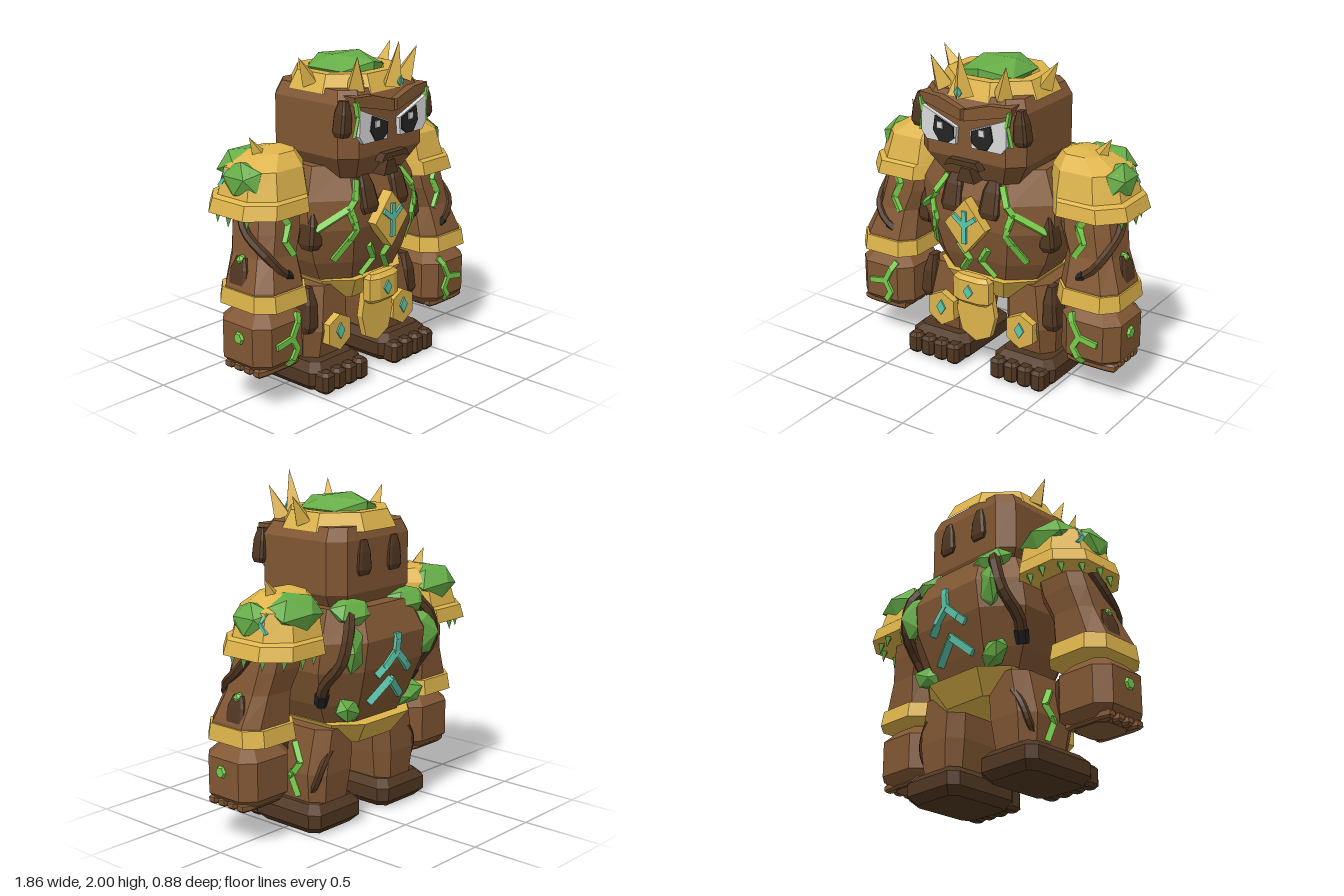
import * as THREE from 'three';

const V = (x, y, z) => new THREE.Vector3(x, y, z);
const UP = V(0, 1, 0);

export function createModel() {
  const root = new THREE.Group();
  const paint = (name, color) => {
    const m = new THREE.MeshStandardMaterial({ color });
    m.name = name;
    m.flatShading = true;
    return m;
  };
  const brown = paint('stoneBrown', 0x815733), dark = paint('darkBrown', 0x503621), gold = paint('gold', 0xdeb44b);
  const moss = paint('mossGreen', 0x66ad47), glow = paint('vineGreen', 0x76cc49), teal = paint('teal', 0x5ec9ad);
  const black = paint('black', 0x252424), white = paint('eyeWhite', 0xdadada);

  const add = (name, geo, mat) => {
    const m = new THREE.Mesh(geo, mat);
    m.name = name;
    root.add(m);
    return m;
  };
  // Stacked eight-sided sections: [y, halfX, halfZ, centreX, centreZ], k = corner cut
  const loft = (rings, k = 0.3) => {
    const pos = [], idx = [], n = rings.length;
    for (const [y, hx, hz, ox = 0, oz = 0] of rings) {
      const a = hx * (1 - k), b = hz * (1 - k);
      for (const [x, z] of [[a, hz], [hx, b], [hx, -b], [a, -hz], [-a, -hz], [-hx, -b], [-hx, b], [-a, hz]])
        pos.push(x + ox, y, z + oz);
    }
    for (let i = 0; i < n - 1; i++) for (let j = 0; j < 8; j++) {
      const a = i * 8 + j, b = i * 8 + (j + 1) % 8;
      idx.push(a, b, b + 8, a, b + 8, a + 8);
    }
    const t = (n - 1) * 8;
    for (let j = 1; j < 7; j++) idx.push(t, t + j, t + j + 1, 0, j + 1, j);
    const g = new THREE.BufferGeometry();
    g.setAttribute('position', new THREE.Float32BufferAttribute(pos, 3));
    g.setIndex(idx);
    const flat = g.toNonIndexed();
    flat.computeVertexNormals();
    return flat;
  };
  // Bevelled block centred on x, y, z
  const chunk = (name, mat, x, y, z, w, h, d, c) => add(name, loft([
    [y - h / 2, w / 2 - c, d / 2 - c, x, z], [y - h / 2 + c, w / 2, d / 2, x, z],
    [y + h / 2 - c, w / 2, d / 2, x, z], [y + h / 2, w / 2 - c, d / 2 - c, x, z]], Math.min(0.6, 2 * c / Math.min(w, d))), mat);
  // Rough stone scale, narrow at the top
  const lump = (name, x, y, z, w, h, d, rz = 0, rx = 0) => {
    const m = add(name, loft([[-h / 2, w * 0.36, d * 0.35], [-h * 0.35, w / 2, d / 2], [h * 0.15, w * 0.42, d * 0.45], [h / 2, w * 0.22, d * 0.25]]), dark);
    m.position.set(x, y, z);
    m.rotation.set(rx, 0, rz);
  };
  const spike = (name, mat, base, tip, r, sides = 4) => {
    const d = tip.clone().sub(base);
    const m = add(name, new THREE.ConeGeometry(r, d.length(), sides), mat);
    m.position.copy(base).addScaledVector(d, 0.5);
    m.quaternion.setFromUnitVectors(UP, d.normalize());
  };
  const tuft = (x, y, z, rx, ry, rz, rot = [0, 0, 0]) => {
    const m = add('mossPatch', new THREE.IcosahedronGeometry(1, 0), moss);
    m.position.set(x, y, z);
    m.scale.set(rx, ry, rz);
    m.rotation.set(...rot);
  };
  const plate = (name, mat, pts, z, depth) => {
    const g = new THREE.ExtrudeGeometry(new THREE.Shape(pts.map(p => new THREE.Vector2(...p))), { depth, bevelEnabled: false });
    g.translate(0, 0, z);
    return add(name, g, mat);
  };
  const diamond = (name, mat, x, y, z, w, h, d) => plate(name, mat, [[x - w, y], [x, y - h], [x + w, y], [x, y + h]], z, d);
  // Straight bar between two points
  const bar = (name, mat, a, b, w, depth = w) => {
    const d = b.clone().sub(a);
    const m = add(name, new THREE.BoxGeometry(w, d.length() + w * 0.4, depth), mat);
    m.position.copy(a).addScaledVector(d, 0.5);
    m.quaternion.setFromUnitVectors(UP, d.normalize());
  };
  // Glowing crack laid on a surface; pts are [x, y], or [z, y] when the axis is x
  const ray = new THREE.Raycaster();
  const crack = (name, mat, mesh, axis, sign, pts, w = 0.034) => {
    const hits = [];
    for (let i = 0; i < pts.length - 1; i++) for (let s = i ? 1 : 0; s <= 3; s++) {
      const u = THREE.MathUtils.lerp(pts[i][0], pts[i + 1][0], s / 3), y = THREE.MathUtils.lerp(pts[i][1], pts[i + 1][1], s / 3);
      const dir = axis === 'z' ? V(0, 0, -sign) : V(-sign, 0, 0);
      ray.set(axis === 'z' ? V(u, y, 3 * sign) : V(3 * sign, y, u), dir);
      const hit = ray.intersectObject(mesh)[0];
      if (hit) hits.push(hit.point);
    }
    for (let i = 0; i < hits.length - 1; i++) bar(name, mat, hits[i], hits[i + 1], w);
  };
  // Dark root with a black tip
  const vineRoot = (name, pts, r) => {
    const curve = new THREE.CatmullRomCurve3(pts.map(p => V(...p)));
    add(name, new THREE.TubeGeometry(curve, 10, r, 6), dark);
    const end = curve.getPoint(1), back = curve.getPoint(0.86), d = end.clone().sub(back);
    const m = add(name + 'Tip', new THREE.CylinderGeometry(r * 1.1, r * 1.2, d.length(), 6), black);
    m.position.copy(back).addScaledVector(d, 0.6);
    m.quaternion.setFromUnitVectors(UP, d.normalize());
  };

  // Torso, belt and loincloth
  const torso = add('torso', loft([[0.58, 0.3, 0.235, 0, -0.02], [0.74, 0.39, 0.3, 0, -0.025], [0.95, 0.46, 0.36, 0, -0.04],
    [1.12, 0.45, 0.365, 0, -0.055], [1.3, 0.36, 0.28, 0, -0.06]], 0.45), brown);
  add('belt', loft([[0.49, 0.25, 0.23, 0, -0.03], [0.625, 0.335, 0.315, 0, -0.04]], 0.42), gold);
  chunk('buckle', gold, 0, 0.55, 0.3, 0.25, 0.18, 0.1, 0.025);
  diamond('buckleGem', teal, 0, 0.55, 0.348, 0.033, 0.043, 0.012);
  plate('loincloth', gold, [[-0.11, 0.52], [-0.135, 0.38], [-0.1, 0.25], [0, 0.2], [0.1, 0.25], [0.135, 0.38], [0.11, 0.52]], 0.235, 0.04);
  diamond('chestPlate', gold, 0, 0.97, 0.31, 0.14, 0.165, 0.07);
  bar('chestRune', teal, V(0, 0.875, 0.384), V(0, 1.06, 0.384), 0.03, 0.02);
  // Back chevrons
  crack('backRune', teal, torso, 'z', -1, [[0, 1.13], [0, 1.03]], 0.042);
  for (const y of [1.03, 0.86]) crack('backRune', teal, torso, 'z', -1, [[-0.13, y - 0.12], [0, y], [0.13, y - 0.12]], 0.042);

  // Head and crown
  add('head', loft([[1.235, 0.26, 0.25, 0, 0.03], [1.37, 0.35, 0.32, 0, 0.04], [1.67, 0.35, 0.32, 0, 0.04], [1.745, 0.31, 0.285, 0, 0.03]], 0.25), brown);
  const crown = add('crown', new THREE.LatheGeometry([[0.36, 1.715], [0.305, 1.815], [0.235, 1.815], [0.225, 1.74]].map(p => new THREE.Vector2(...p)), 8, Math.PI / 8).toNonIndexed(), gold);
  crown.geometry.computeVertexNormals();
  crown.position.z = 0.02;
  crown.scale.z = 0.95;
  tuft(0, 1.815, 0.02, 0.21, 0.088, 0.253);
  spike('crownSpike', gold, V(0, 1.75, 0.375), V(0, 2, 0.415), 0.068);
  diamond('crownGem', teal, 0, 1.775, 0.425, 0.024, 0.038, 0.01);
  plate('mouth', dark, [[-0.12, 1.33], [-0.09, 1.375], [0.09, 1.375], [0.12, 1.33], [0.06, 1.345], [-0.06, 1.345]], 0.35, 0.055);
  plate('chin', dark, [[-0.06, 1.235], [-0.03, 1.32], [0.03, 1.32], [0.06, 1.235]], 0.28, 0.09);

  for (const s of [-1, 1]) {
    const M = pts => pts.map(([x, y, ...r]) => [x * s, y, ...r]);
    bar('chestRune', teal, V(0, 0.975, 0.384), V(s * 0.07, 1.03, 0.384), 0.028, 0.02);
    // Crown points
    spike('crownSpike', gold, V(s * 0.2, 1.75, 0.28), V(s * 0.25, 1.935, 0.335), 0.065);
    spike('crownSpike', gold, V(s * 0.3, 1.765, 0.02), V(s * 0.385, 1.91, 0.02), 0.058);
    // Brow, eyes and head scales
    const brow = plate('brow', brown, M([[0, 1.605], [0.29, 1.67], [0.3, 1.72], [0.16, 1.715], [0, 1.67]]), 0.3, 0.1);
    brow.rotation.y = s * 0.1;
    brow.position.x = -s * 0.03;
    plate('eye', white, M([[0.045, 1.555], [0.28, 1.65], [0.285, 1.5], [0.25, 1.455], [0.055, 1.455]]), 0.355, 0.03);
    plate('pupil', black, M([[0.06, 1.555], [0.185, 1.605], [0.2, 1.52], [0.16, 1.46], [0.1, 1.46], [0.06, 1.49]]), 0.385, 0.009);
    const glint = add('eyeGlint', new THREE.BoxGeometry(0.038, 0.038, 0.008), white);
    glint.position.set(s < 0 ? -0.15 : 0.13, 1.555, 0.397);
    lump('templeScale', s * 0.34, 1.6, 0.31, 0.09, 0.2, 0.09, s * 0.08);
    lump('headBackScale', s * 0.13, 1.57, -0.275, 0.11, 0.2, 0.06);
    bar('faceVine', glow, V(s * 0.295, 1.69, 0.37), V(s * 0.28, 1.61, 0.37), 0.018, 0.03);
    bar('faceVine', glow, V(s * 0.28, 1.61, 0.37), V(s * 0.3, 1.5, 0.36), 0.018, 0.03);

    // Chest scales, cracks, back moss and root
    lump('chestScale', s * 0.13, 1.14, 0.285, 0.13, 0.24, 0.09, 0, -0.25);
    lump('ribScale', s * 0.42, 0.95, 0.14, 0.1, 0.22, 0.12, s * 0.08);
    crack('chestCrack', glow, torso, 'z', 1, M([[0.19, 1.21], [0.27, 1.07], [0.24, 0.95], [0.31, 0.77]]));
    crack('chestCrack', glow, torso, 'z', 1, M([[0.27, 1.07], [0.42, 0.96]]));
    crack('bellyCrack', glow, torso, 'z', 1, M([[0.1, 0.82], [0.04, 0.73], [0.11, 0.64]]));
    tuft(s * 0.24, 1.28, -0.29, 0.15, 0.07, 0.11, [-0.5, 0, 0]);
    tuft(s * 0.29, 1.08, -0.35, 0.13, 0.15, 0.06, [0, s * 0.5, 0]);
    tuft(s * 0.25, 0.71, -0.275, 0.13, 0.08, 0.07, [0.4, s * 0.4, 0]);
    vineRoot('backRoot', M([[0.28, 1.29, -0.31], [0.35, 1.2, -0.37], [0.4, 1.02, -0.36], [0.42, 0.88, -0.25], [0.385, 0.76, -0.19]]), 0.035);

    // Arm, bracelet and fist
    const arm = add('arm', loft([[0.6, 0.18, 0.19, s * 0.71, 0.05], [0.7, 0.185, 0.19, s * 0.7, 0.05], [0.87, 0.145, 0.165, s * 0.67, 0.02],
      [1.0, 0.16, 0.17, s * 0.63, 0], [1.25, 0.15, 0.16, s * 0.58, -0.03]], 0.4), brown);
    add('bracelet', loft([[0.595, 0.205, 0.225, s * 0.7, 0.045], [0.69, 0.195, 0.21, s * 0.7, 0.045]], 0.4), gold);
    const fist = chunk('fist', brown, s * 0.722, 0.395, 0.055, 0.385, 0.37, 0.385, 0.075);
    for (let i = 0; i < 4; i++) chunk('finger', brown, s * 0.74, 0.238, -0.05 + i * 0.075, 0.31, 0.05, 0.068, 0.012);
    crack('fistCrack', glow, fist, 'z', 1, M([[0.625, 0.53], [0.69, 0.41], [0.65, 0.34], [0.7, 0.26]]));
    crack('fistCrack', glow, fist, 'z', 1, M([[0.69, 0.41], [0.8, 0.39]]));
    const stud = add('fistGem', new THREE.CylinderGeometry(0.03, 0.046, 0.03, 6), glow);
    stud.position.set(s * 0.915, 0.43, 0.07);
    stud.rotation.z = -s * Math.PI / 2;
    crack('armCrack', glow, arm, 'z', 1, M([[0.67, 1.12], [0.62, 1.04], [0.66, 0.95], [0.61, 0.87]]));
    lump('elbowScale', s * 0.84, 0.77, 0.01, 0.06, 0.19, 0.14, s * 0.15);
    const bud = add('elbowBud', new THREE.IcosahedronGeometry(0.032, 0), glow);
    bud.position.set(s * 0.83, 0.85, 0.01);
    vineRoot('armRoot', M([[0.78, 1.11, -0.05], [0.81, 1.0, 0.03], [0.78, 0.88, 0.17], [0.72, 0.8, 0.2], [0.65, 0.75, 0.2]]), 0.027);

    // Shoulder pad with moss, spike and hanging leaves
    add('shoulderPad', loft([[1.09, 0.255, 0.27, s * 0.625, -0.06], [1.17, 0.24, 0.255, s * 0.615, -0.06], [1.185, 0.23, 0.235, s * 0.595, -0.06],
      [1.335, 0.205, 0.2, s * 0.58, -0.06], [1.41, 0.12, 0.12, s * 0.535, -0.05], [1.43, 0.02, 0.02, s * 0.48, -0.04]], 0.5), gold);
    spike('padSpike', gold, V(s * 0.61, 1.36, -0.05), V(s * 0.69, 1.5, -0.06), 0.06);
    tuft(s * 0.595, 1.325, -0.195, 0.185, 0.1, 0.14, [-0.4, 0, 0]);
    tuft(s * 0.76, 1.28, -0.04, 0.09, 0.11, 0.15, [0, 0, s * 0.3]);
    bar('padRune', teal, V(s * 0.8, 1.23, -0.18), V(s * 0.8, 1.28, -0.14), 0.022);
    bar('padRune', teal, V(s * 0.8, 1.28, -0.14), V(s * 0.77, 1.33, -0.16), 0.022);
    for (let i = 0; i < 6; i++) {
      const t = -0.5 + i * 0.5, x = s * (0.625 + 0.225 * Math.cos(t)), z = -0.06 - 0.24 * Math.sin(t);
      spike('hangingLeaf', moss, V(x, 1.1, z), V(x + s * 0.01, 1.025, z), 0.028);
    }

    // Leg, knee guard and foot
    const leg = add('leg', loft([[0.12, 0.14, 0.18, s * 0.29, -0.03], [0.34, 0.17, 0.215, s * 0.285, -0.02], [0.6, 0.15, 0.2, s * 0.25, -0.035]], 0.4), brown);
    const hex = [[0, 0.11], [0.09, 0.065], [0.09, -0.055], [0, -0.11], [-0.09, -0.055], [-0.09, 0.065]];
    plate('kneeGuard', gold, hex.map(([x, y]) => [x + s * 0.28, y + 0.32]), 0.18, 0.055);
    diamond('kneeGem', teal, s * 0.28, 0.33, 0.233, 0.032, 0.05, 0.012);
    lump('thighScale', s * 0.43, 0.47, 0.1, 0.1, 0.27, 0.15, s * 0.06);
    crack('legCrack', glow, leg, 'x', s, [[-0.02, 0.5], [-0.08, 0.4], [-0.02, 0.31], [-0.06, 0.2]]);
    vineRoot('legRoot', M([[0.34, 0.48, -0.22], [0.4, 0.38, -0.21], [0.42, 0.28, -0.18], [0.4, 0.19, -0.11]]), 0.022);
    chunk('foot', dark, s * 0.3, 0.085, 0, 0.42, 0.17, 0.52, 0.045);
    for (let i = 0; i < 4; i++) chunk('toe', dark, s * 0.3 - 0.141 + i * 0.094, 0.072, 0.26, 0.092, 0.13, 0.115, 0.02);
  }
  return root;
}
